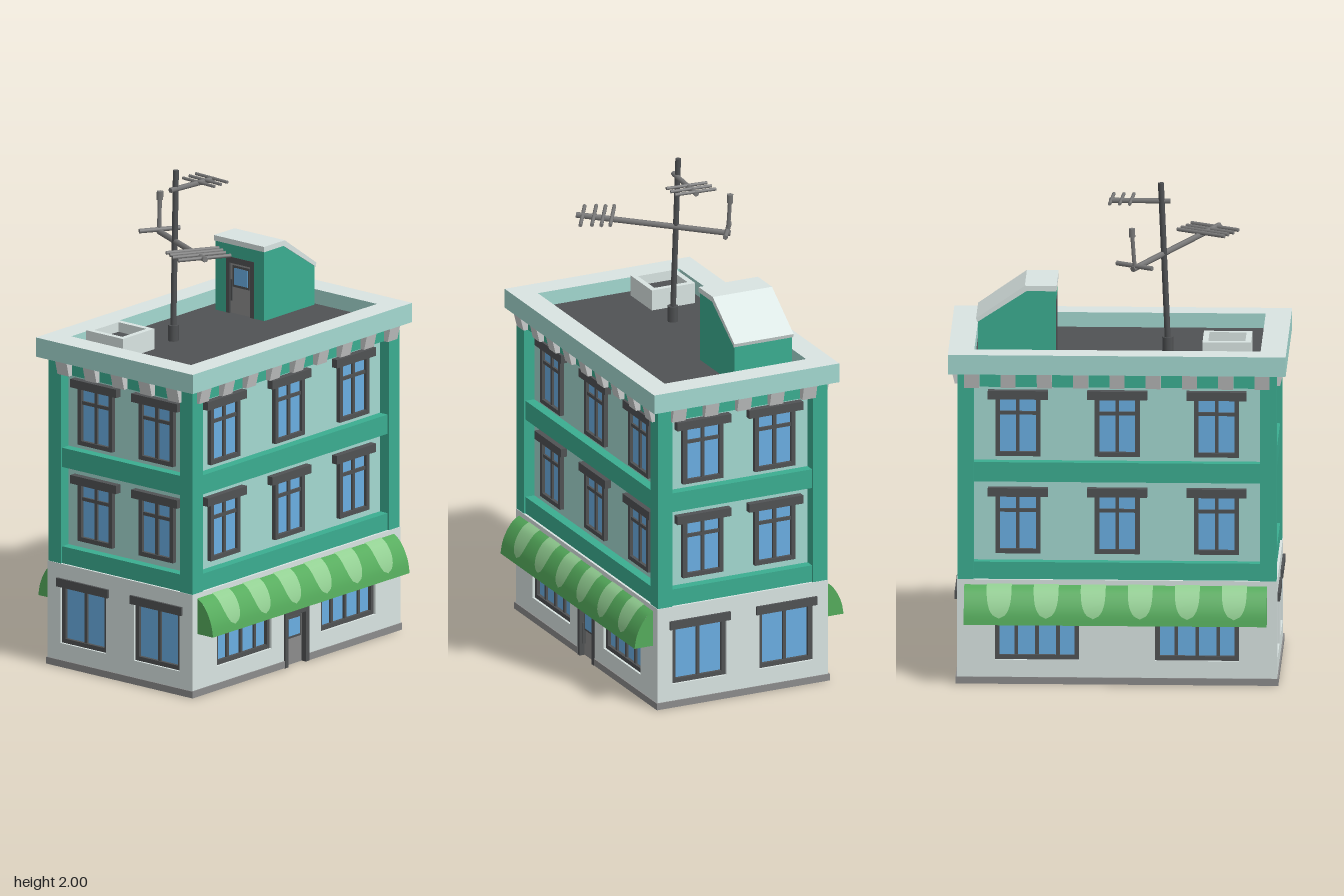
import * as THREE from 'three';

const mat = (name, color) => {
  const m = new THREE.MeshStandardMaterial({ color });
  m.name = name;
  return m;
};

export function createModel() {
  const model = new THREE.Group();
  model.name = 'townBuilding';
  const plaster = mat('plaster', 0xd9e4e2), teal = mat('wallTeal', 0xa3d8d0);
  const green = mat('trimGreen', 0x3bad91), dark = mat('darkGrey', 0x505254);
  const glass = mat('glassBlue', 0x6aaee2), stone = mat('stoneGrey', 0x8c8c8c);
  const corbelGrey = mat('corbelGrey', 0xcacccc), metal = mat('metal', 0x7a7a7a);
  const canvas = mat('awningGreen', 0x55ac5c), stripe = mat('awningStripe', 0x92cf92);
  canvas.side = stripe.side = THREE.DoubleSide;

  const add = (parent, name, geo, material) => {
    const m = new THREE.Mesh(geo, material);
    m.name = name;
    parent.add(m);
    return m;
  };
  // box given by its limits
  const box = (parent, name, material, x0, x1, y0, y1, z0, z1) => {
    const m = add(parent, name, new THREE.BoxGeometry(x1 - x0, y1 - y0, z1 - z0), material);
    m.position.set((x0 + x1) / 2, (y0 + y1) / 2, (z0 + z1) / 2);
    return m;
  };
  const shapeOf = pts => new THREE.Shape(pts.map(p => new THREE.Vector2(...p)));
  const extrude = (shape, z0, z1) => new THREE.ExtrudeGeometry(shape,
    { depth: z1 - z0, bevelEnabled: false }).translate(0, 0, z0);
  // extrude a floor plan (x, -z) upward
  const plan = (parent, name, material, shape, y0, y1) =>
    add(parent, name, extrude(shape, y0, y1).rotateX(-Math.PI / 2), material);
  const rect = (x0, x1, y0, y1) => shapeOf([[x0, y0], [x1, y0], [x1, y1], [x0, y1]]);
  const rod = (parent, name, material, a, b, r, sides = 6) => {
    const p = new THREE.Vector3(...a), q = new THREE.Vector3(...b);
    const m = add(parent, name, new THREE.CylinderGeometry(r, r, p.distanceTo(q), sides), material);
    m.position.copy(p).add(q).multiplyScalar(0.5);
    m.quaternion.setFromUnitVectors(new THREE.Vector3(0, 1, 0), q.sub(p).normalize());
    return m;
  };

  // ground floor core and plinth, with a door recess in the front
  const notched = (hx, hz) => shapeOf([[-hx, -hz], [-0.075, -hz], [-0.075, -0.345],
    [0.075, -0.345], [0.075, -hz], [hx, -hz], [hx, hz], [-hx, hz]]);
  plan(model, 'underside', stone, notched(0.632, 0.372), 0, 0.004);
  plan(model, 'plinth', stone, notched(0.645, 0.385), 0.002, 0.03);
  box(model, 'groundFloorCore', plaster, -0.612, 0.612, 0.01, 0.43, -0.352, 0.352);

  // door
  const makeDoor = (parent, w, h) => {
    const d = new THREE.Group();
    d.name = 'door';
    parent.add(d);
    box(d, 'doorLeaf', stone, -w, w, 0, h, 0, 0.012);
    for (const s of [-1, 1]) {
      box(d, 'doorJamb', dark, s * w - 0.01, s * w + 0.01, 0, h, 0, 0.035);
    }
    box(d, 'doorHead', dark, -w - 0.01, w + 0.01, h - 0.025, h, 0, 0.036);
    box(d, 'doorWindowFrame', dark, -0.045, 0.045, h - 0.125, h - 0.035, 0.012, 0.017);
    box(d, 'doorWindow', glass, -0.035, 0.035, h - 0.115, h - 0.045, 0.012, 0.02);
    box(d, 'doorHandle', dark, -0.052, -0.044, h * 0.22, h * 0.6, 0.012, 0.026);
    return d;
  };
  makeDoor(model, 0.064, 0.235).position.z = 0.35;

  // upper floors: recessed wall between pillars and bands
  box(model, 'upperWall', teal, -0.59, 0.59, 0.43, 1.28, -0.33, 0.33);
  for (const sx of [-1, 1]) for (const sz of [-1, 1]) {
    const p = box(model, 'cornerPillar', green, -0.0325, 0.0325, 0.43, 1.28, -0.0325, 0.0325);
    p.position.x = sx * 0.605;
    p.position.z = sz * 0.345;
  }
  for (const [y0, y1] of [[0.43, 0.5], [0.83, 0.91], [1.22, 1.28]]) {
    box(model, 'floorBand', green, -0.63, 0.63, y0, y1, -0.37, 0.37);
  }

  const makeWindow = (parent, x, y0, y1, w, z, mullions, transom, headOut, overhang) => {
    const g = new THREE.Group();
    g.name = 'window';
    g.position.set(x, 0, z);
    parent.add(g);
    const h = w / 2, t = 0.018, out = 0.018;
    box(g, 'glass', glass, -h + 0.01, h - 0.01, y0 + 0.01, y1 - 0.01, -0.004, 0.004);
    for (const s of [-1, 1]) {
      box(g, 'frameSide', dark, s * (h - t / 2) - t / 2, s * (h - t / 2) + t / 2, y0, y1, 0, out);
    }
    box(g, 'sill', dark, -h, h, y0, y0 + t, 0, out);
    box(g, 'header', dark, -h - overhang, h + overhang, y1 - 0.01, y1 + 0.025, 0, headOut);
    for (let i = 1; i <= mullions; i++) {
      const mx = -h + w * i / (mullions + 1);
      box(g, 'mullion', dark, mx - 0.007, mx + 0.007, y0, y1, 0, out * 0.7);
    }
    if (transom) {
      const ty = y0 + (y1 - y0) * 0.72;
      box(g, 'transom', dark, -h, h, ty - 0.007, ty + 0.007, 0, out * 0.7);
    }
  };

  // corbel: wedge profile in (outward, y)
  const corbelGeo = extrude(shapeOf([[-0.01, 1.22], [0.012, 1.22], [0.027, 1.28], [-0.01, 1.28]]),
    -0.03, 0.03).rotateY(-Math.PI / 2);

  // four facades
  for (let k = 0; k < 4; k++) {
    const f = new THREE.Group();
    f.name = ['frontFacade', 'leftFacade', 'backFacade', 'rightFacade'][k];
    f.rotation.y = k * Math.PI / 2;
    model.add(f);
    const long = k % 2 === 0;
    const upper = long ? 0.33 : 0.59, core = long ? 0.352 : 0.612;
    for (const x of long ? [-0.397, 0, 0.397] : [-0.16, 0.16]) {
      for (const y of [0.53, 0.93]) makeWindow(f, x, y, y + 0.245, 0.18, upper, 1, true, 0.028, 0.03);
    }
    // ground wall with window openings, and a door opening in front
    const hw = long ? 0.64 : 0.352;
    const wall = k === 0
      ? shapeOf([[-hw, 0.03], [-0.075, 0.03], [-0.075, 0.235], [0.075, 0.235], [0.075, 0.03],
        [hw, 0.03], [hw, 0.43], [-hw, 0.43]])
      : rect(-hw, hw, 0.03, 0.43);
    const x = long ? 0.32 : 0.193, w = long ? 0.335 : 0.24;
    for (const s of [-1, 1]) {
      wall.holes.push(rect(s * x - w / 2, s * x + w / 2, 0.1, 0.345));
      makeWindow(f, s * x, 0.1, 0.345, w, core, long ? 3 : 1, false, 0.038, 0.015);
    }
    add(f, 'groundWall', extrude(wall, core, core + 0.028), plaster);
    const n = long ? 4 : 2;
    for (let i = -n; i <= n; i++) {
      const c = add(f, 'corbel', corbelGeo, corbelGrey);
      c.position.set(i * 0.145, 0, long ? 0.378 : 0.638);
    }
  }

  // awnings, front and back: curved shell, end plates and light stripes
  const curve = new THREE.SplineCurve([[0.375, 0.412], [0.407, 0.392], [0.435, 0.354],
    [0.454, 0.31], [0.463, 0.262]].map(p => new THREE.Vector2(...p)));
  for (let k = 0; k < 2; k++) {
    const a = new THREE.Group();
    a.name = k ? 'backAwning' : 'frontAwning';
    a.rotation.y = k * Math.PI;
    model.add(a);
    const bend = (width, t1, off, taper) => {
      const g = new THREE.PlaneGeometry(1, 1, 2, 16), p = g.attributes.position;
      for (let i = 0; i < p.count; i++) {
        const t = (0.5 - p.getY(i)) * t1;
        const c = curve.getPoint(t), d = curve.getTangent(t);
        const w = taper ? width * Math.sqrt(Math.max(0, 1 - (t / t1) ** 4)) : width;
        p.setXYZ(i, p.getX(i) * w, c.y + d.x * off, c.x - d.y * off);
      }
      g.computeVertexNormals();
      return g;
    };
    add(a, 'awningCloth', bend(1.21, 1, 0, false), canvas).position.x = -0.005;
    const end = new THREE.ShapeGeometry(shapeOf([...curve.getPoints(12).map(p => [-p.x, p.y]), [-0.375, 0.262]]));
    end.rotateY(Math.PI / 2);
    for (const x of [-0.61, 0.6]) add(a, 'awningEnd', end, canvas).position.x = x;
    for (let i = 0; i < 6; i++) {
      add(a, 'awningStripe', bend(0.1, 0.85, 0.003, true), stripe).position.x = (i - 2.5) * 0.188;
    }
  }

  // cornice, parapet and roof
  const ring = rect(-0.675, 0.675, -0.412, 0.412);
  ring.holes.push(rect(-0.572, 0.572, -0.315, 0.315));
  plan(model, 'parapet', [plaster, teal], ring, 1.28, 1.36);
  box(model, 'roof', dark, -0.58, 0.58, 1.27, 1.3, -0.32, 0.32);

  // stair house with a recessed door facing the roof
  add(model, 'stairHouse', extrude(shapeOf([[0.262, 1.3], [0.56, 1.3], [0.56, 1.465],
    [0.365, 1.592], [0.262, 1.592]]), -0.258, -0.002), green);
  add(model, 'stairHouseRoof', extrude(shapeOf([[0.245, 1.588], [0.365, 1.588], [0.562, 1.459],
    [0.567, 1.474], [0.372, 1.61], [0.245, 1.61]]), -0.262, 0.002), plaster);
  for (const [z0, z1] of [[-0.258, -0.202], [-0.054, -0.002]]) {
    box(model, 'stairHousePier', green, 0.249, 0.263, 1.3, 1.59, z0, z1);
  }
  box(model, 'stairHouseLintel', green, 0.249, 0.263, 1.535, 1.59, -0.202, -0.054);
  const roofDoor = makeDoor(model, 0.064, 0.235);
  roofDoor.name = 'roofDoor';
  roofDoor.rotation.y = -Math.PI / 2;
  roofDoor.position.set(0.262, 1.3, -0.128);
  roofDoor.scale.z = 0.4;

  // roof hatch
  const hatch = rect(-0.532, -0.338, 0.077, 0.27);
  hatch.holes.push(rect(-0.509, -0.361, 0.1, 0.247));
  plan(model, 'hatchRim', plaster, hatch, 1.3, 1.385);
  box(model, 'hatchCover', dark, -0.51, -0.36, 1.3, 1.345, -0.248, -0.099);

  // aerial
  const aerial = new THREE.Group();
  aerial.name = 'aerial';
  model.add(aerial);
  rod(aerial, 'mastFoot', dark, [-0.195, 1.3, -0.1], [-0.194, 1.365, -0.1], 0.022, 8);
  rod(aerial, 'mast', dark, [-0.195, 1.33, -0.1], [-0.167, 2, -0.11], 0.012, 8);
  rod(aerial, 'upperBoom', metal, [-0.205, 1.925, -0.107], [0.04, 1.922, -0.09], 0.011);
  for (const x of [-0.05, -0.01, 0.03]) {
    rod(aerial, 'upperElement', metal, [x + 0.006, 1.928, -0.178], [x - 0.006, 1.928, -0.002], 0.007);
  }
  rod(aerial, 'lowerBoom', metal, [-0.06, 1.688, -0.29], [-0.39, 1.743, 0.235], 0.012);
  for (const [x, z] of [[-0.32, 0.108], [-0.335, 0.14], [-0.355, 0.172], [-0.372, 0.215]]) {
    rod(aerial, 'lowerElement', metal, [x - 0.096, 1.742, z - 0.057], [x + 0.096, 1.742, z + 0.057], 0.008);
  }
  rod(aerial, 'reflector', metal, [-0.14, 1.7, -0.325], [0.005, 1.7, -0.235], 0.01);
  rod(aerial, 'feedArm', metal, [-0.068, 1.69, -0.283], [-0.058, 1.83, -0.287], 0.009);
  rod(aerial, 'feedTip', metal, [-0.058, 1.82, -0.287], [-0.057, 1.855, -0.287], 0.014);

  return model;
}
